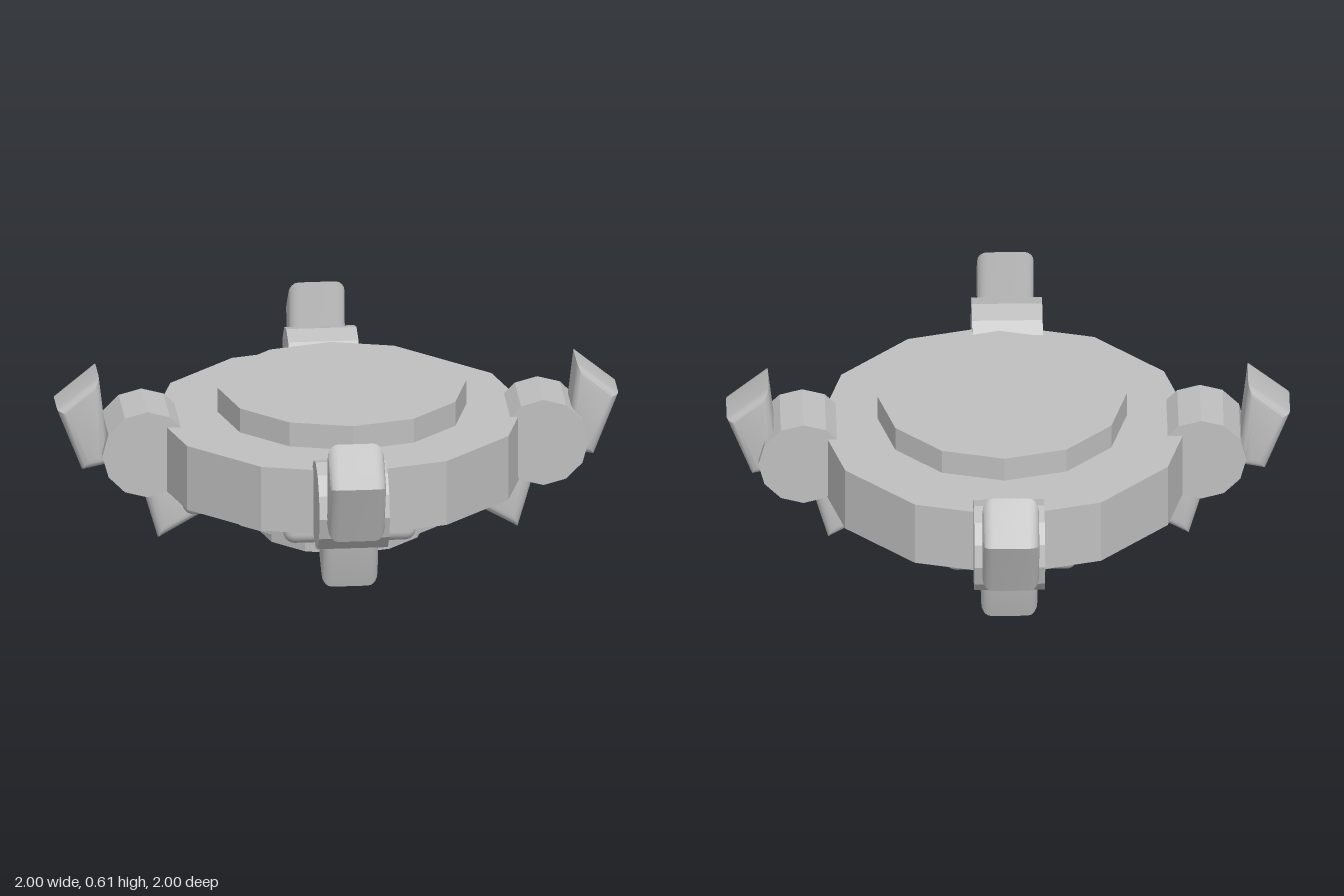
import * as THREE from 'three';
import { toCreasedNormals } from 'three/addons/utils/BufferGeometryUtils.js';
import { RoundedBoxGeometry } from 'three/addons/geometries/RoundedBoxGeometry.js';

const grey = new THREE.MeshStandardMaterial({ color: 0xbfbfbf });
grey.name = 'plain grey';

function add(parent, name, geometry, x = 0, y = 0, z = 0) {
  const mesh = new THREE.Mesh(geometry, grey);
  mesh.name = name;
  mesh.position.set(x, y, z);
  parent.add(mesh);
  return mesh;
}

// Twelve-sided prism with crisp facets
const prism = (radius, height) =>
  toCreasedNormals(new THREE.CylinderGeometry(radius, radius, height, 12), 0.3);

// Four-cornered claw profile (outward, up), extruded sideways with rounded edges
function clawGeometry(corners, width = 0.2, bevel = 0.035) {
  const shape = new THREE.Shape(corners.map(([x, y]) => new THREE.Vector2(x, y)));
  const depth = width - 2 * bevel;
  const geometry = new THREE.ExtrudeGeometry(shape, {
    depth, bevelEnabled: true, bevelThickness: bevel,
    bevelSize: bevel, bevelOffset: -bevel, bevelSegments: 4,
  });
  geometry.translate(0, 0, -depth / 2);
  return toCreasedNormals(geometry, 0.6);
}

export function createModel() {
  const model = new THREE.Group();
  model.name = 'clawedDisc';

  // Stacked discs: [name, radius, bottom, top, x, z]
  const discs = [
    ['footDisc', 0.30, 0, 0.09, 0.016, 0.004],
    ['lowerDisc', 0.442, 0.09, 0.175, 0.021, 0.002],
    ['mainDisc', 0.66, 0.19, 0.43, 0.0125, -0.0125],
    ['topDisc', 0.442, 0.44, 0.53, 0.021, 0],
  ];
  for (const [name, radius, bottom, top, x, z] of discs) {
    add(model, name, prism(radius, top - bottom), x, (bottom + top) / 2, z);
  }

  const upperClaw = clawGeometry([[0.91, 0.265], [0.998, 0.49], [0.85, 0.61], [0.812, 0.285]]);
  const lowerClaw = clawGeometry([[0.64, 0], [0.695, 0.19], [0.70, 0.27], [0.62, 0.27], [0.49, 0.085]]);
  const knuckle = prism(0.16, 0.25).rotateX(Math.PI / 2);
  const pad = new RoundedBoxGeometry(0.235, 0.12, 0.47, 4, 0.04);

  // Four arms around the rim: [name, turn, knuckle distance, sideways offset]
  const arms = [
    ['leftArm', 0, 0.727, -0.005],
    ['backArm', Math.PI / 2, 0.70, 0.011],
    ['rightArm', Math.PI, 0.682, 0.004],
    ['frontArm', -Math.PI / 2, 0.695, 0.011],
  ];
  for (const [name, turn, distance, offset] of arms) {
    const arm = new THREE.Group();
    arm.name = name;
    arm.rotation.y = turn;
    add(arm, 'knuckle', knuckle, distance, 0.33, offset);
    add(arm, 'upperClaw', upperClaw, 0, 0, offset * 0.8);
    add(arm, 'lowerClaw', lowerClaw, 0, 0, offset * 0.8);
    add(arm, 'undersidePad', pad, 0.447, 0.19, 0);
    model.add(arm);
  }
  return model;
}
